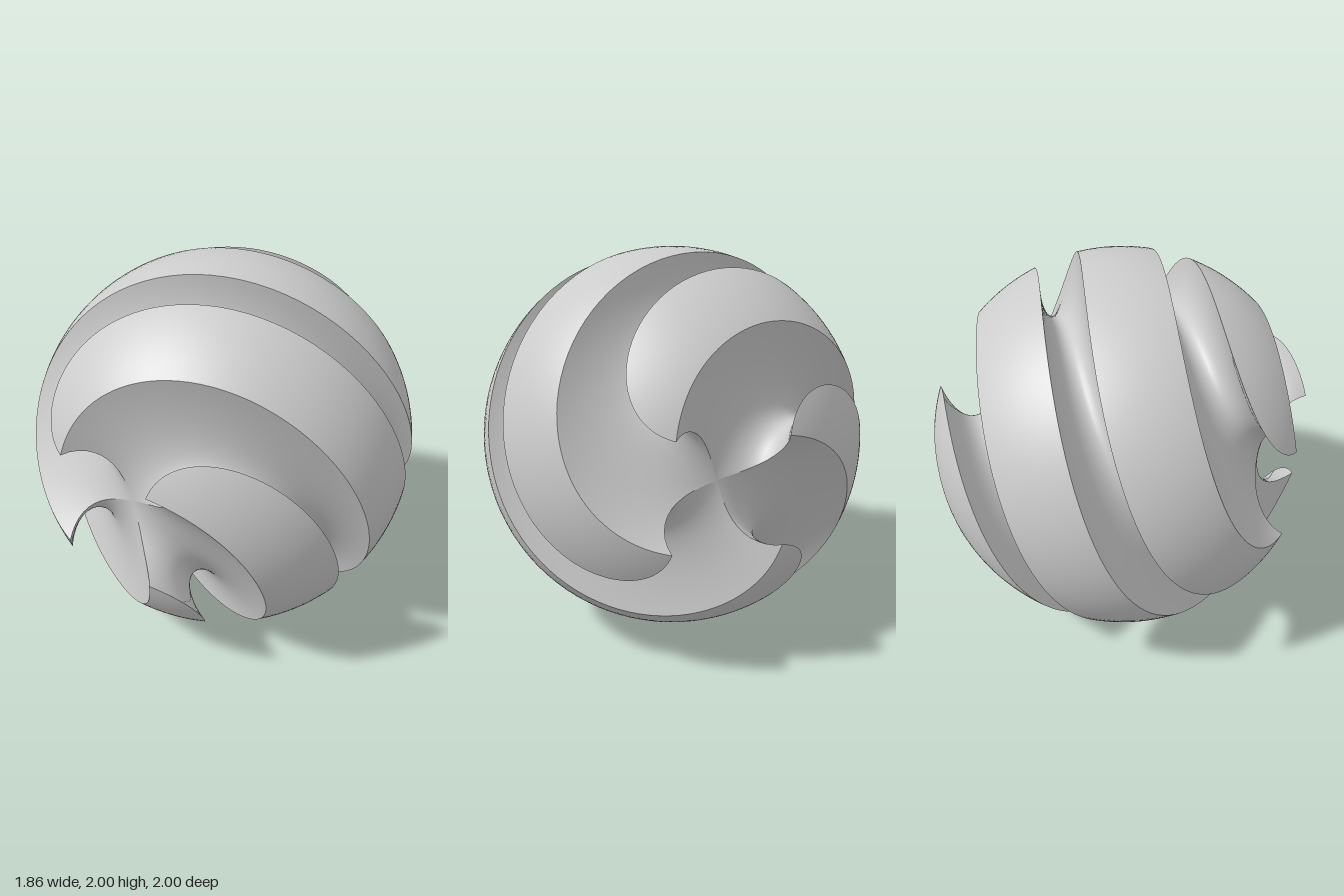
import * as THREE from 'three';

// Unit ball with four round-bottomed meridian grooves, twisted along the x axis
const TUBE = 0.262;                              // radius of the groove section
const EDGE = 2 * Math.asin(TUBE / 2);            // angle from groove centre to its rim
const W = Math.sin(EDGE), C = Math.cos(EDGE);    // rim offset and rim ring radius
const PHI = Math.acos(TUBE / 2);                 // section angle at the rim
const TWIST = 2.5;                               // radians per unit of x

// Grid surface from f(u, v) -> [x, y, z], turned about x by start + twist
function patch(f, nu, nv, start) {
  const pos = [], index = [];
  for (let i = 0; i <= nu; i++) {
    for (let j = 0; j <= nv; j++) {
      const [x, y, z] = f(i / nu, j / nv);
      const a = start + TWIST * x, c = Math.cos(a), s = Math.sin(a);
      pos.push(x, 1 + y * c - z * s, y * s + z * c);
      if (i < nu && j < nv) {
        const p = i * (nv + 1) + j, q = p + nv + 1;
        index.push(p, p + 1, q, q, p + 1, q + 1);
      }
    }
  }
  const g = new THREE.BufferGeometry();
  g.setAttribute('position', new THREE.Float32BufferAttribute(pos, 3));
  g.setIndex(index);
  g.computeVertexNormals();
  return g;
}

// Groove: inside of a ring tube, stopped where it meets its neighbours at the poles
function groovePoint(u, v) {
  const phi = (2 * v - 1) * PHI;
  const R = 1 - TUBE * Math.cos(phi), z = TUBE * Math.sin(phi);
  const t0 = Math.asin(Math.min(1, Math.abs(z) / R));
  const t = t0 + (Math.PI - 2 * t0) * u;
  return [-R * Math.cos(t), R * Math.sin(t), z];
}

// Ridge: the piece of ball left between two grooves, pointed at both ends
function ridgePoint(u, v) {
  const t0 = Math.asin(W / C);
  const x = -C * Math.cos(t0 + (Math.PI - 2 * t0) * u);
  const r = Math.sqrt(1 - x * x);
  const a0 = Math.asin(Math.min(W / r, Math.SQRT1_2));
  const a = a0 + (Math.PI / 2 - 2 * a0) * v;
  return [x, r * Math.cos(a), r * Math.sin(a)];
}

export function createModel() {
  const group = new THREE.Group();
  group.name = 'twistedGroovedBall';
  const material = new THREE.MeshStandardMaterial({ color: 0xcccccc });
  for (let k = 0; k < 4; k++) {
    const start = Math.PI / 4 + k * Math.PI / 2;
    const groove = new THREE.Mesh(patch(groovePoint, 96, 24, start), material);
    groove.name = 'groove' + (k + 1);
    const ridge = new THREE.Mesh(patch(ridgePoint, 96, 20, start), material);
    ridge.name = 'ridge' + (k + 1);
    group.add(groove, ridge);
  }
  return group;
}
